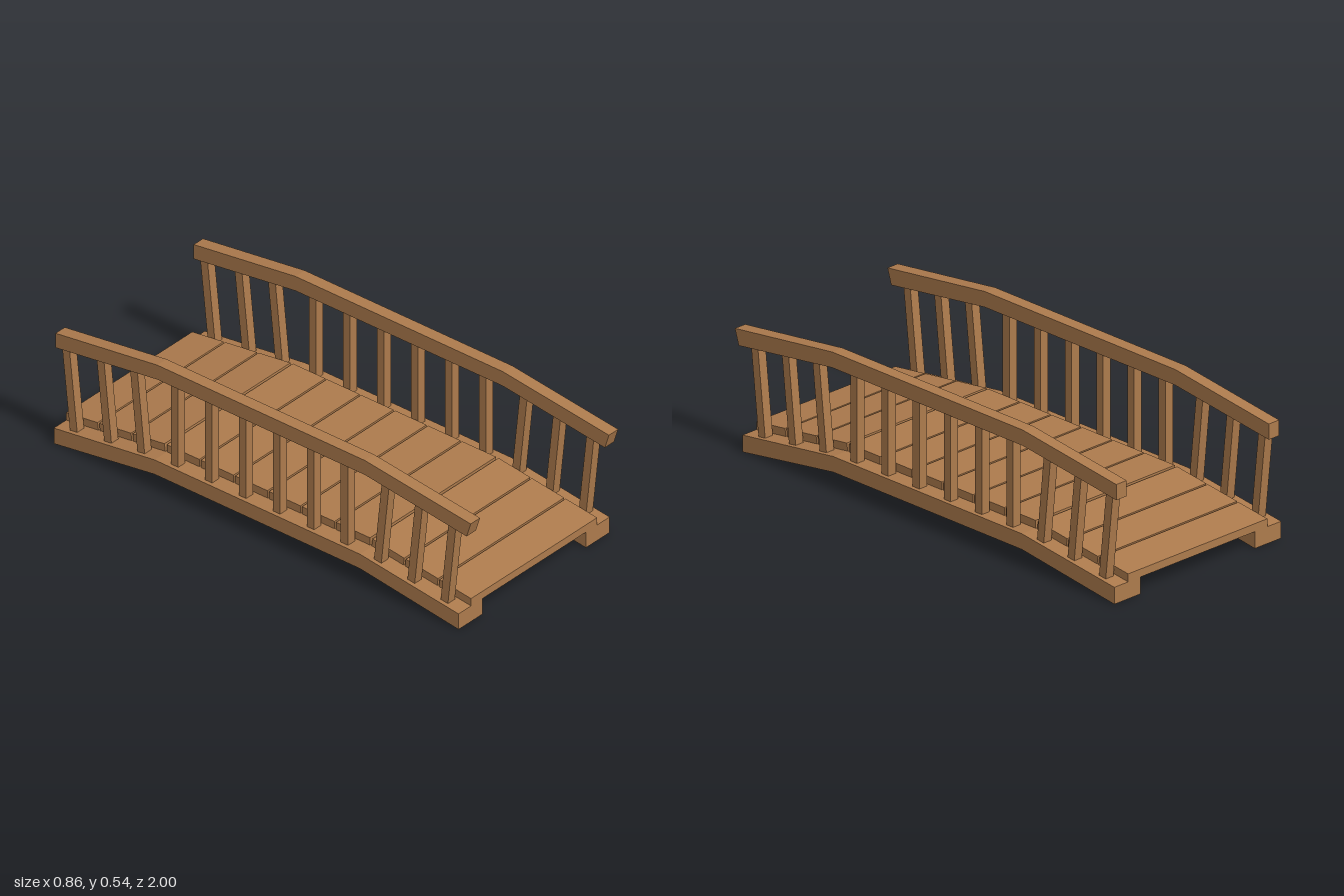
import * as THREE from 'three';

const wood = new THREE.MeshStandardMaterial({ color: 0xad7b4d });
wood.name = 'wood';

// Extrudes a side outline given as [z, y] points across the width, centred on x
function extrudeAcross(name, outline, width, x = 0) {
  const shape = new THREE.Shape(outline.map(([z, y]) => new THREE.Vector2(z, y)));
  const geometry = new THREE.ExtrudeGeometry(shape, { depth: width, bevelEnabled: false });
  geometry.translate(0, 0, -width / 2);
  geometry.rotateY(-Math.PI / 2);
  const mesh = new THREE.Mesh(geometry, wood);
  mesh.name = name;
  mesh.position.x = x;
  return mesh;
}

// Top edge of the beams: ramp, flat middle, ramp
const FRONT = 0.95, BACK = -1, BEND_FRONT = 0.475, BEND_BACK = -0.515;
const LOW = 0.068, HIGH = 0.131;

function beamTop(z) {
  if (z > BEND_FRONT) return HIGH - (HIGH - LOW) * (z - BEND_FRONT) / (FRONT - BEND_FRONT);
  if (z < BEND_BACK) return HIGH - (HIGH - LOW) * (BEND_BACK - z) / (BEND_BACK - BACK);
  return HIGH;
}

function makeSide(sign) {
  const side = new THREE.Group();
  side.name = sign > 0 ? 'leftSide' : 'rightSide';

  // Bent support beam
  side.add(extrudeAcross('beam', [
    [FRONT, 0], [FRONT, LOW], [BEND_FRONT, HIGH], [BEND_BACK, HIGH],
    [BACK, LOW], [BACK, 0], [BEND_BACK, 0.068], [BEND_FRONT, 0.068],
  ], 0.135, sign * 0.3625));

  // Bent handrail, square-cut at the front and plumb at the back
  side.add(extrudeAcross('handrail', [
    [1, 0.478], [0.49, 0.543], [-0.51, 0.543], [-1, 0.478],
    [-1, 0.415], [-0.51, 0.48], [0.49, 0.48], [0.98, 0.415],
  ], 0.053, sign * 0.3935));

  // Balusters as [bottom z, top z, top y]; those on the ramps lean outward
  const posts = [[0.866, 0.905, 0.434], [0.706, 0.744, 0.454], [0.545, 0.583, 0.473]];
  for (let i = 0; i < 6; i++) {
    const z = 0.385 - i * 0.1636;
    posts.push([z, z, 0.484]);
  }
  posts.push([-0.594, -0.63, 0.47], [-0.754, -0.791, 0.45], [-0.919, -0.957, 0.429]);
  const h = 0.0175;
  for (const [z0, z1, top] of posts) {
    const y0 = beamTop(z0) - 0.003;
    const lean = Math.sign(z1 - z0) * 0.002;
    side.add(extrudeAcross('baluster', [
      [z0 + h, y0 - lean], [z1 + h, top - lean], [z1 - h, top + lean], [z0 - h, y0 + lean],
    ], 0.039, sign * 0.393));
  }
  return side;
}

export function createModel() {
  const bridge = new THREE.Group();
  bridge.name = 'footbridge';
  bridge.add(makeSide(1), makeSide(-1));

  // Deck planks with narrow gaps, cut square to the slope
  const deck = new THREE.Group();
  deck.name = 'deck';
  const seams = [0.95, 0.791, 0.628, 0.467, 0.296, 0.132, -0.027, -0.19, -0.355, -0.519, -0.68, -0.841, -1];
  const thick = 0.032, gap = 0.004;
  for (let i = 0; i < seams.length - 1; i++) {
    const front = seams[i] - (i > 0 ? gap : 0);
    const back = seams[i + 1] + (i < seams.length - 2 ? gap : 0);
    const shift = i < 3 ? 0.004 : i > 8 ? -0.004 : 0;
    const topFront = Math.min(front + shift, FRONT);
    const topBack = Math.max(back + shift, BACK);
    // On the ramps the plank follows the straight slope right up to its end
    const slope = i < 3 ? -(HIGH - LOW) / (FRONT - BEND_FRONT)
      : i > 8 ? (HIGH - LOW) / (BEND_BACK - BACK) : 0;
    const mid = (front + back) / 2;
    const under = (z) => beamTop(mid) + slope * (z - mid);
    deck.add(extrudeAcross('plank', [
      [front, under(front)], [topFront, under(topFront) + thick],
      [topBack, under(topBack) + thick], [back, under(back)],
    ], 0.718));
  }
  bridge.add(deck);
  return bridge;
}
